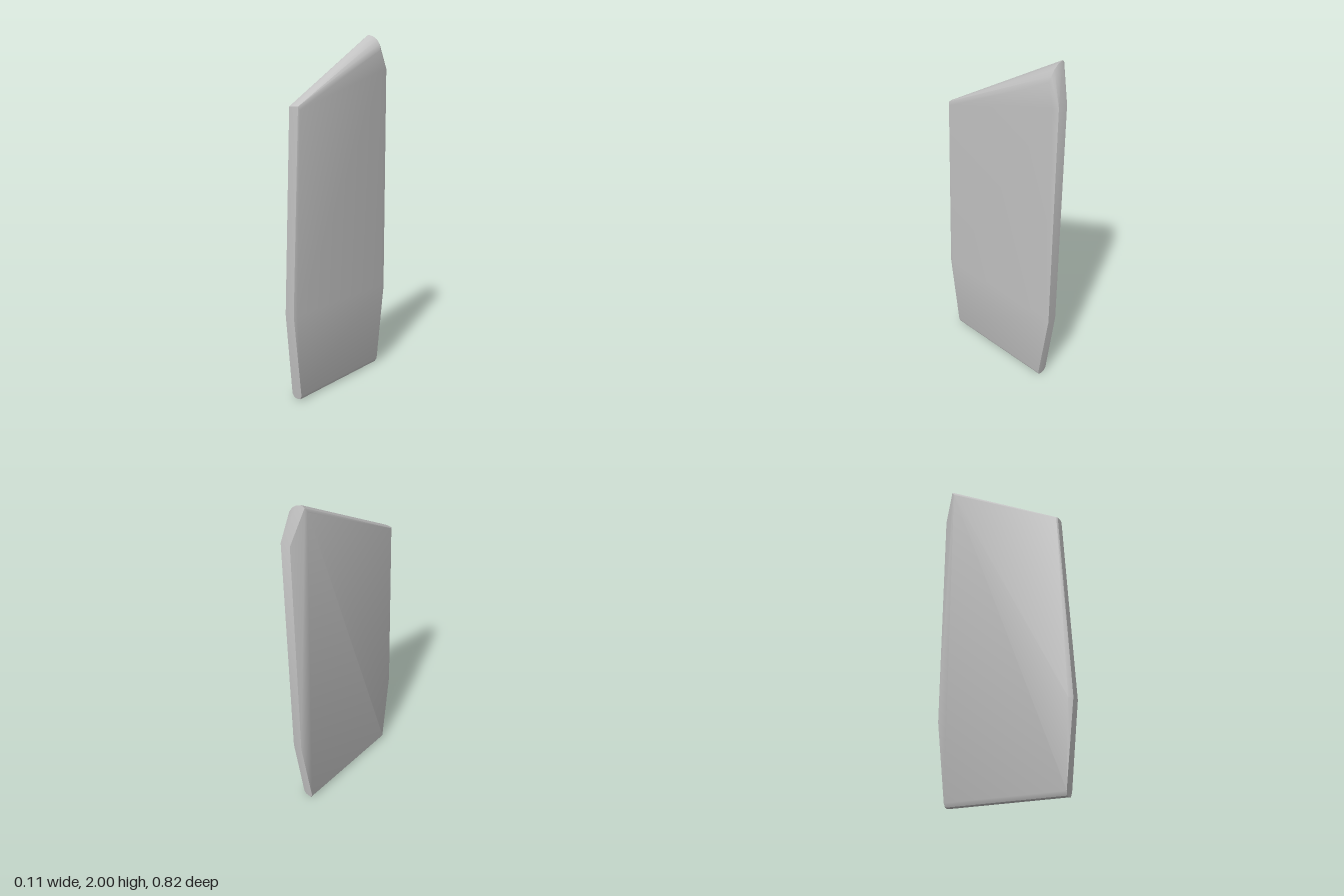
import * as THREE from 'three';
import { ConvexGeometry } from 'three/addons/geometries/ConvexGeometry.js';
import { toCreasedNormals } from 'three/addons/utils/BufferGeometryUtils.js';

const grey = new THREE.MeshStandardMaterial({ color: 0xc2c2c2 });
grey.name = 'plainGrey';

// Corner sections of the slab, each a row of [x, y, z] points running from -x to +x
const sections = {
  bottomFront: [[-0.019, 0.03, 0.355], [-0.008, 0.008, 0.352], [0.015, 0.004, 0.352], [0.037, 0.008, 0.352], [0.048, 0.03, 0.355]],
  bottomBack: [[-0.019, 0.03, -0.347], [-0.008, 0.008, -0.345], [0.015, 0.004, -0.345], [0.037, 0.008, -0.345], [0.048, 0.03, -0.347]],
  bellyFront: [[-0.026, 0.5, 0.385], [-0.012, 0.5, 0.409], [0.047, 0.5, 0.409], [0.052, 0.5, 0.385]],
  bellyBack: [[-0.01, 0.48, -0.409], [0.05, 0.48, -0.409], [0.054, 0.5, -0.375]],
  shoulderFront: [[-0.018, 1.6, 0.355], [-0.012, 1.603, 0.362], [0.022, 1.604, 0.363], [0.047, 1.603, 0.36], [0.052, 1.585, 0.35]],
  shoulderBack: [[-0.01, 1.805, -0.409], [0.05, 1.805, -0.409], [0.055, 1.8, -0.375]],
  // Rounded ridge at the peak, falling away towards +x
  peak: [[-0.057, 1.965, -0.33], [-0.052, 1.99, -0.345], [-0.036, 2.0, -0.347], [-0.005, 1.99, -0.349],
    [0.022, 1.972, -0.35], [0.042, 1.945, -0.35], [0.053, 1.91, -0.342]],
};

export function createModel() {
  const points = Object.values(sections).flat().map(([x, y, z]) => new THREE.Vector3(x, y - 0.004, z));
  // Wrap the corners in one faceted solid, softening only the shallow folds
  const geometry = toCreasedNormals(new ConvexGeometry(points), THREE.MathUtils.degToRad(30));
  const slab = new THREE.Mesh(geometry, grey);
  slab.name = 'slab';

  const model = new THREE.Group();
  model.name = 'standingSlab';
  model.add(slab);
  return model;
}
